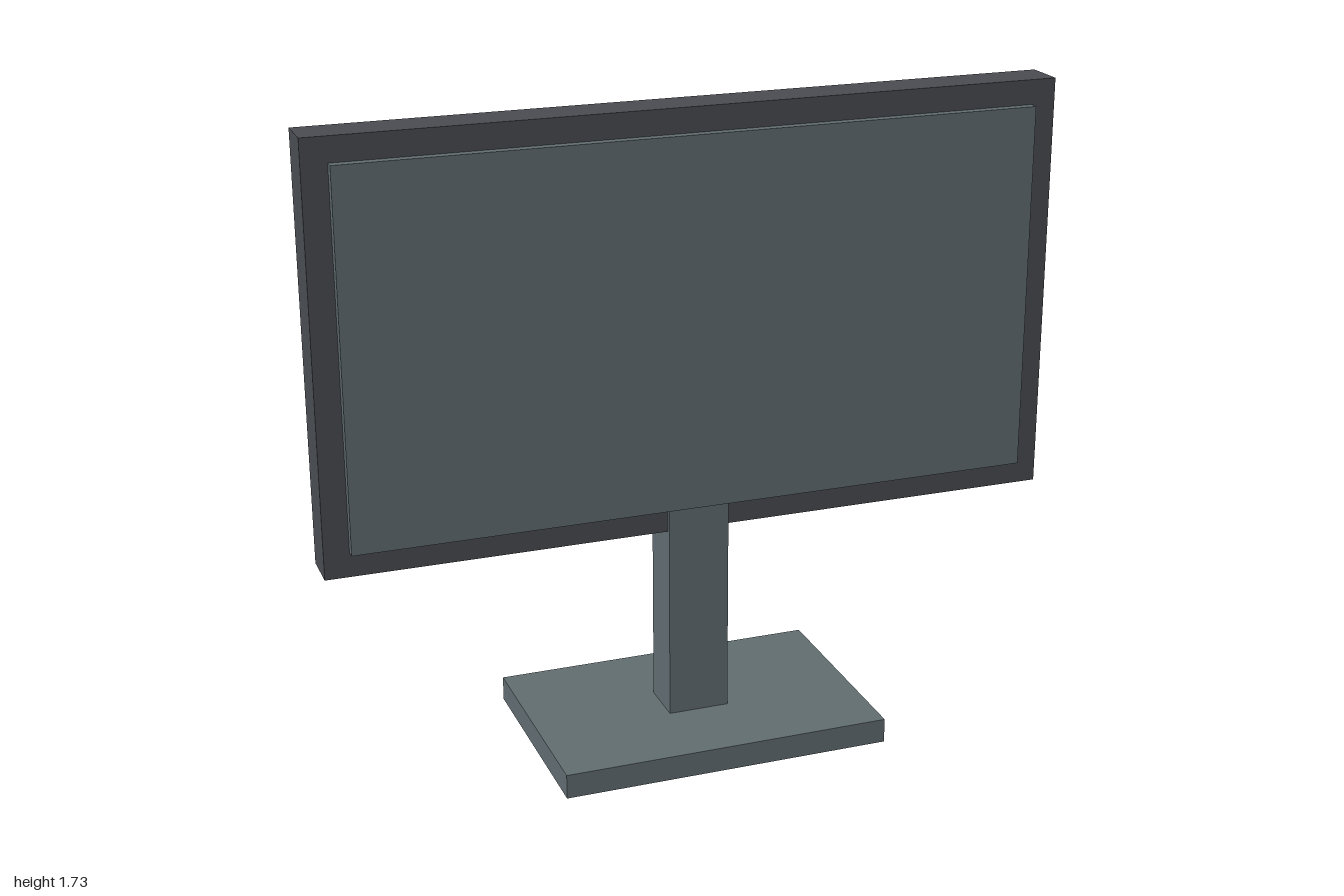
import * as THREE from 'three';

export function createModel() {
  const model = new THREE.Group();
  model.name = 'monitor';

  const casing = new THREE.MeshStandardMaterial({ color: 0x4a4d52 });
  casing.name = 'dark casing';
  const slate = new THREE.MeshStandardMaterial({ color: 0x626e72 });
  slate.name = 'slate grey';

  // Box given by its size, the height of its underside and its depth centre
  function box(name, material, width, height, depth, bottom, z = 0) {
    const mesh = new THREE.Mesh(new THREE.BoxGeometry(width, height, depth), material);
    mesh.name = name;
    mesh.position.set(0, bottom + height / 2, z);
    model.add(mesh);
  }

  // Stand
  box('base', slate, 0.9, 0.067, 0.6, 0);
  box('neck', slate, 0.167, 0.6, 0.134, 0.067);

  // Display: casing with a raised screen on its front
  box('casing', casing, 2, 1.133, 0.116, 0.6);
  box('screen', slate, 1.867, 1, 0.033, 0.667, 0.067);

  return model;
}
